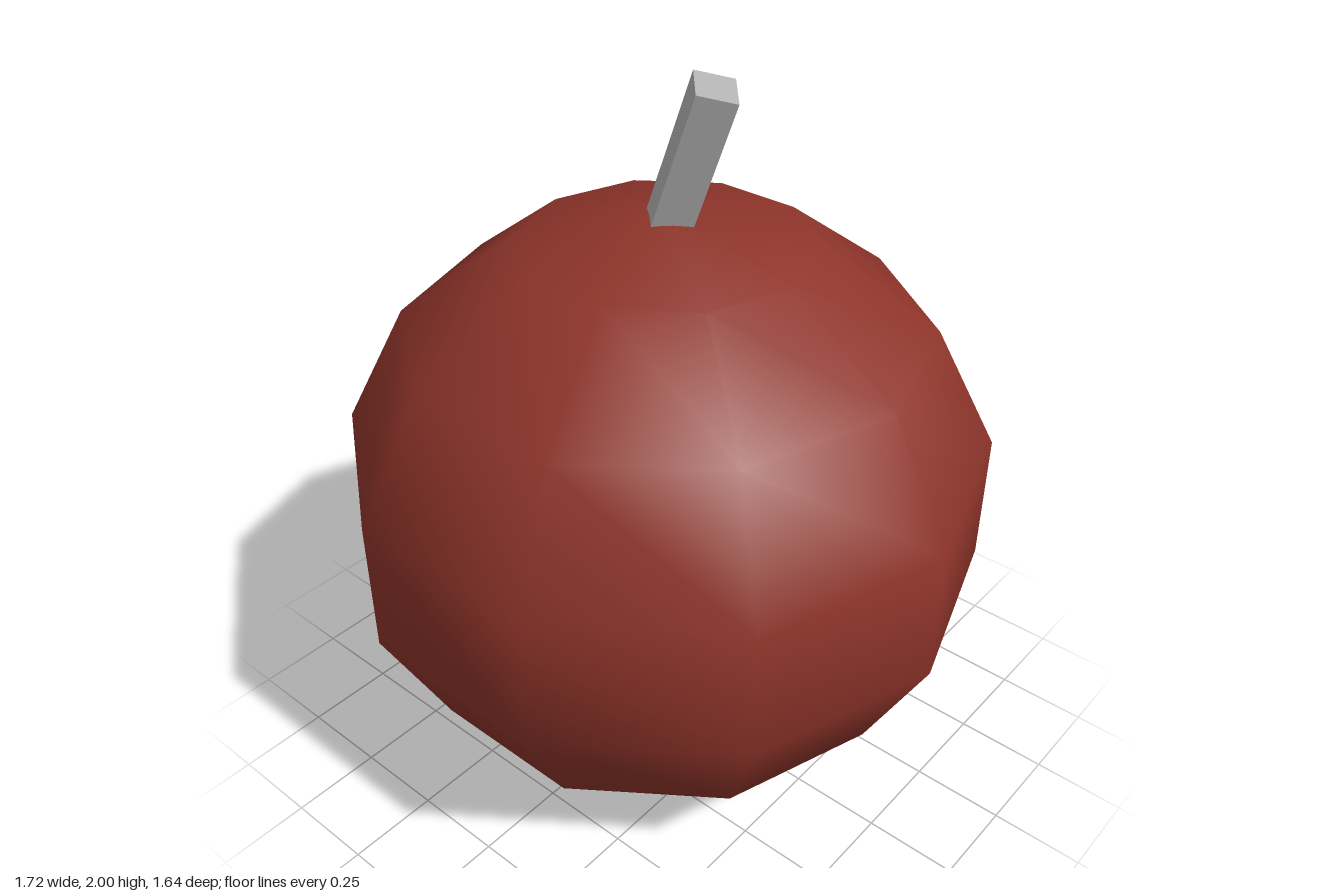
import * as THREE from 'three';

export function createModel() {
  const red = new THREE.MeshStandardMaterial({ color: 0x8e342a });
  red.name = 'dark red';
  const grey = new THREE.MeshStandardMaterial({ color: 0xb2b2b2 });
  grey.name = 'light grey';

  const group = new THREE.Group();
  group.name = 'fruit';

  // Slightly squashed low-poly ball with smooth normals
  const bodyGeometry = new THREE.SphereGeometry(0.884, 10, 7);
  bodyGeometry.scale(1, 0.922, 1);
  const body = new THREE.Mesh(bodyGeometry, red);
  body.name = 'body';
  body.position.y = 0.818;
  group.add(body);

  // Four-sided stem with flat faces, leaning to the left, its foot sunk in the body
  const length = 0.48;
  const stemGeometry = new THREE.CylinderGeometry(0.072, 0.072, length, 4).toNonIndexed();
  stemGeometry.computeVertexNormals();
  stemGeometry.translate(0, -length / 2, 0);
  const stem = new THREE.Mesh(stemGeometry, grey);
  stem.name = 'stem';
  stem.position.set(0.145, 1.975, 0);
  stem.rotation.z = -0.36;
  group.add(stem);

  return group;
}
